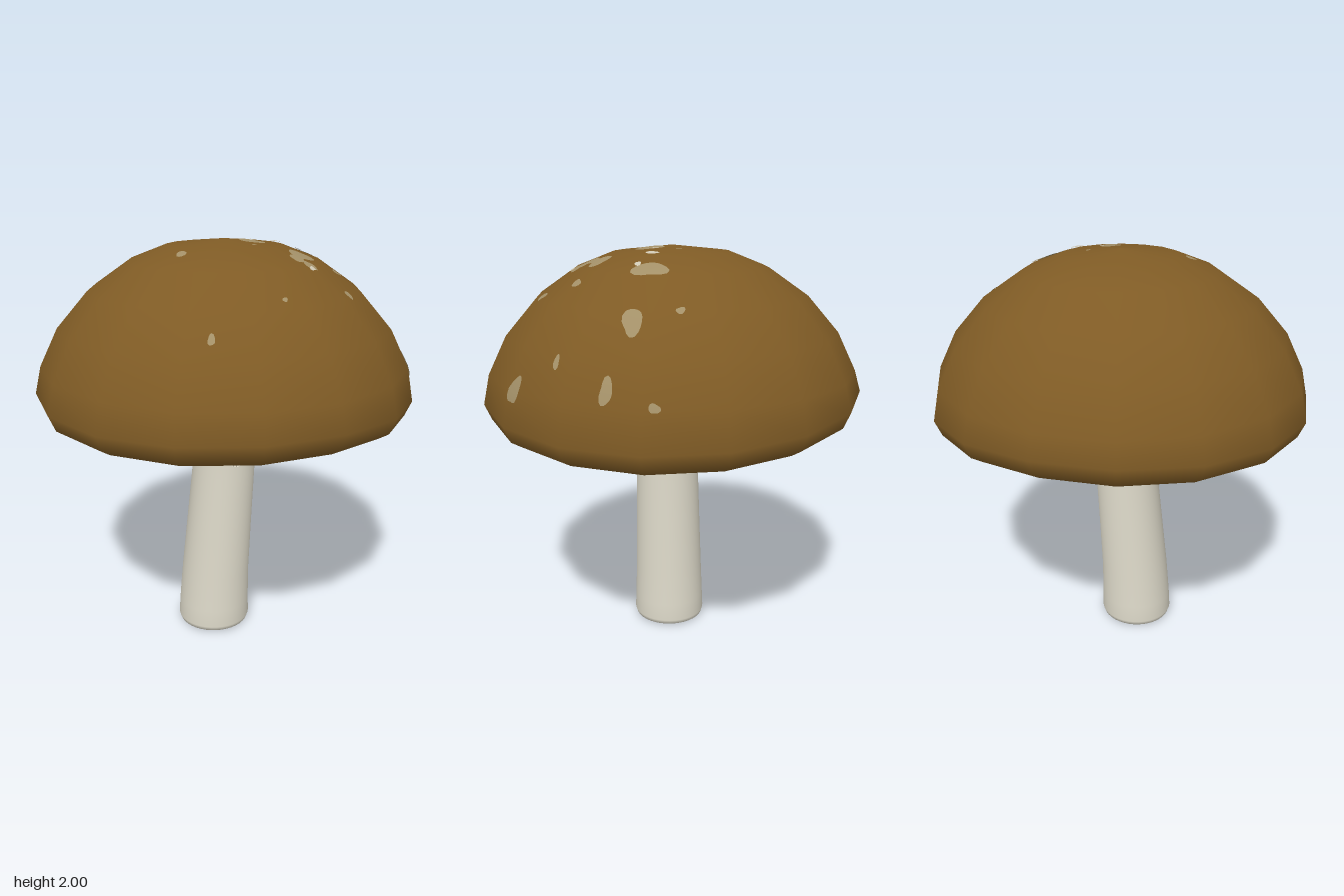
import * as THREE from 'three';

const material = (name, color, side = THREE.FrontSide) => {
  const m = new THREE.MeshStandardMaterial({ color, side });
  m.name = name;
  return m;
};

const lathe = (points, segments) =>
  new THREE.LatheGeometry(points.map(([r, y]) => new THREE.Vector2(r, y)), segments);

// Move every vertex of a geometry by a rule
function deform(geometry, rule) {
  const pos = geometry.attributes.position;
  const v = new THREE.Vector3();
  for (let i = 0; i < pos.count; i++) {
    v.fromBufferAttribute(pos, i);
    rule(v);
    pos.setXYZ(i, v.x, v.y, v.z);
  }
  return geometry;
}

// The stem leans gently, straightening towards the top
function lean(v) {
  v.x += -0.085 + 0.078 * THREE.MathUtils.smoothstep(v.y, 0, 1.2);
  v.z += 0.028;
}

// Irregular disc laid on the surface of the cap
function patchGeometry(cap, [x, z, w, h, slant = 0], seed) {
  const ray = new THREE.Raycaster();
  const down = new THREE.Vector3(0, -1, 0);
  ray.set(new THREE.Vector3(x, 3, z), down);
  const hit = ray.intersectObject(cap)[0];
  const n = hit.normal.clone().normalize();
  const s = new THREE.Vector3(0, 1, 0).cross(n).normalize();
  const t = n.clone().cross(s);
  const rings = Math.max(w, h) > 0.03 ? 4 : 2;
  const sides = 16;
  const position = [], normal = [], index = [];
  for (let r = 0; r <= rings; r++) {
    for (let i = 0; i < sides; i++) {
      const a = (i / sides) * Math.PI * 2;
      const k = (r / rings) * (1 + 0.14 * Math.sin(2 * a + seed * 1.7) + 0.1 * Math.sin(3 * a + seed * 2.9));
      const b = k * h * Math.sin(a);
      const p = hit.point.clone().addScaledVector(s, k * w * Math.cos(a) + slant * b).addScaledVector(t, b);
      ray.set(p.clone().addScaledVector(n, 0.5), n.clone().negate());
      const q = ray.intersectObject(cap)[0];
      position.push(...q.point.addScaledVector(n, 0.005).toArray());
      normal.push(...q.normal.toArray());
      if (r < rings) {
        const j = (i + 1) % sides, c = r * sides, d = c + sides;
        index.push(c + i, d + i, d + j, c + i, d + j, c + j);
      }
    }
  }
  const g = new THREE.BufferGeometry();
  g.setAttribute('position', new THREE.Float32BufferAttribute(position, 3));
  g.setAttribute('normal', new THREE.Float32BufferAttribute(normal, 3));
  g.setIndex(index);
  return g;
}

export function createModel() {
  const model = new THREE.Group();
  const brown = material('cap brown', 0x7f5b25);
  const ivory = material('stem ivory', 0xdedaca, THREE.DoubleSide);
  const tan = material('patch tan', 0xa39068, THREE.DoubleSide);
  const pale = material('patch pale', 0xcfc8b4, THREE.DoubleSide);
  const add = (name, geometry, mat, parent = model) => {
    const mesh = new THREE.Mesh(geometry, mat);
    mesh.name = name;
    parent.add(mesh);
    return mesh;
  };

  // Cap: sixteen-sided dome with a hollow underside and an uneven rim
  const cap = add('cap', deform(lathe([
    [0, 1.4], [0.17, 1.38], [0.4, 1.31], [0.6, 1.215], [0.74, 1.168], [0.84, 1.174],
    [0.89, 1.205], [0.922, 1.28], [0.89, 1.42], [0.8, 1.6], [0.65, 1.77],
    [0.46, 1.9], [0.28, 1.97], [0, 2],
  ], 16), (v) => {
    const rim = THREE.MathUtils.clamp((1.42 - v.y) / 0.14, 0, 1);
    v.y += rim * (0.03 * v.z * v.z - 0.04 * Math.max(v.x, 0) - 0.012 * v.z);
  }), brown);

  // Stem with a rounded foot
  add('stem', deform(lathe([
    [0, 0], [0.16, 0], [0.18, 0.008], [0.187, 0.03], [0.183, 0.12], [0.176, 0.3],
    [0.167, 0.6], [0.16, 0.85], [0.158, 1], [0.16, 1.2], [0.16, 1.4],
  ], 40), lean), ivory);

  // Ring sheath: hugs the upper stem and flares into a scalloped hem
  const skirt = deform(lathe([
    [0.158, 1.01], [0.18, 0.985], [0.222, 0.945], [0.218, 0.965], [0.2, 1],
    [0.188, 1.06], [0.181, 1.14], [0.174, 1.24], [0.166, 1.4],
  ], 90), (v) => {
    const hem = THREE.MathUtils.clamp((1.04 - v.y) / 0.09, 0, 1);
    const wave = Math.cos(10 * Math.atan2(v.x, v.z));
    v.y += hem * (0.018 * wave - 0.1 * v.x);
    v.x *= 1 + 0.04 * hem * wave;
    v.z *= 1 + 0.04 * hem * wave;
    lean(v);
  });
  skirt.computeVertexNormals();
  add('ringSkirt', skirt, ivory);

  // Patches on the cap: x, z, half width, half height, slant
  const patches = new THREE.Group();
  patches.name = 'patches';
  model.add(patches);
  cap.updateMatrixWorld();
  [
    [0.09, 0.09, 0.05, 0.065], [0.41, 0.04, 0.075, 0.065], [0.67, 0.07, 0.045, 0.065],
    [0.83, 0.15, 0.03, 0.055], [0.62, -0.12, 0.018, 0.02], [0.875, -0.05, 0.022, 0.022],
    [0.22, 0.3, 0.055, 0.055], [0.165, 0.35, 0.045, 0.035], [0.19, 0.41, 0.028, 0.045],
    [0.38, 0.37, 0.025, 0.026], [0.71, 0.38, 0.018, 0.03], [0.3, 0.55, 0.022, 0.026],
    [0.65, 0.59, 0.03, 0.07, 0.15], [-0.3, 0.12, 0.026, 0.026], [-0.43, 0.58, 0.017, 0.024],
    [-0.08, 0.59, 0.012, 0.013], [0.14, -0.05, 0.012, 0.012], [0.04, 0.19, 0.012, 0.008],
  ].forEach((spot, i) => add('patch', patchGeometry(cap, spot, i), tan, patches));

  // Small pale flecks
  [[0.25, 0.055, 0.03, 0.028], [0.36, 0.1, 0.016, 0.018], [0.12, 0.06, 0.013, 0.013], [0.18, 0.44, 0.016, 0.016]]
    .forEach((spot, i) => {
      const fleck = add('paleFleck', patchGeometry(cap, spot, i + 5), pale, patches);
      fleck.position.set(0, 0.003, 0);
    });

  return model;
}
